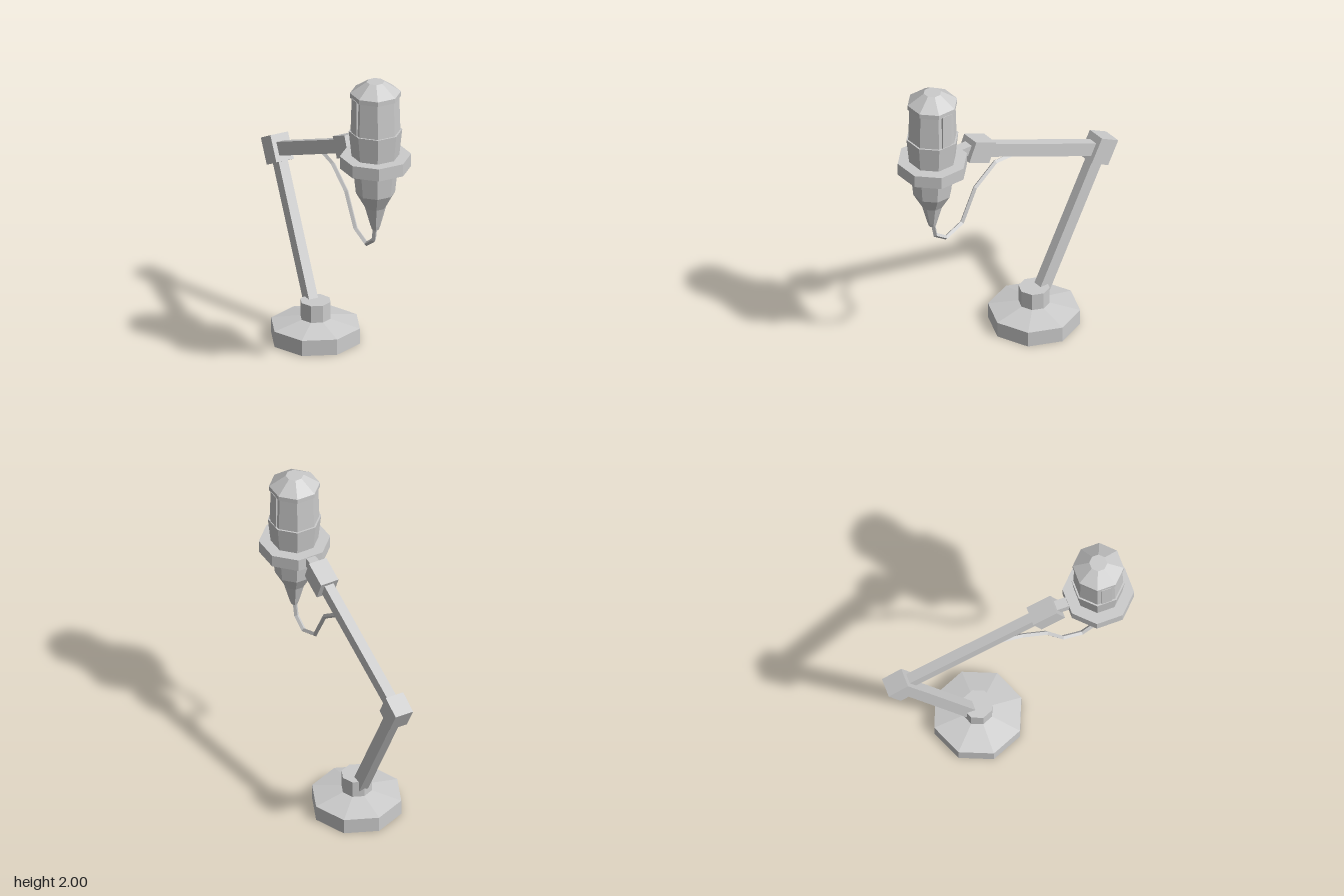
import * as THREE from 'three';

const material = new THREE.MeshStandardMaterial({ color: 0xcccccc, flatShading: true, side: THREE.DoubleSide });
const MIC_Z = 0.585;
const FLAT = 1 / Math.cos(Math.PI / 8); // octagon: flat distance to corner radius

export function createModel() {
  const model = new THREE.Group();
  model.name = 'deskMicrophone';

  const add = (name, geometry, x = 0, y = 0, z = 0) => {
    const mesh = new THREE.Mesh(geometry, material);
    mesh.name = name;
    mesh.position.set(x, y, z);
    model.add(mesh);
    return mesh;
  };

  // Eight-sided solid; profile is [radius, y] from bottom to top
  const octagon = (profile, scale = 1, start = 0) =>
    new THREE.LatheGeometry(profile.map(([r, y]) => new THREE.Vector2(r * scale, y)), 8, start);
  const micPart = (name, profile) => add(name, octagon(profile, FLAT, Math.PI / 8), 0, 0, MIC_Z);

  // Box whose long axis is aimed along a direction in the side plane
  const aimedBox = (name, width, thickness, length, centre, direction) => {
    const mesh = add(name, new THREE.BoxGeometry(width, thickness, length), ...centre.toArray());
    mesh.lookAt(centre.clone().add(direction));
  };

  // Stand: wide foot and socket
  add('base', octagon([[0, 0], [0.28, 0], [0.28, 0.1], [0.095, 0.14], [0, 0.14]]), 0, 0, -0.19);
  add('baseSocket', octagon([[0, 0.13], [0.095, 0.13], [0.095, 0.25], [0, 0.25]]), 0, 0, -0.19);

  // Jointed arm
  const foot = new THREE.Vector3(0, 0.2, -0.238);
  const elbow = new THREE.Vector3(0, 1.06, -0.684);
  const hinge = new THREE.Vector3(0, 1.447, 0.247);
  const arms = [['lowerArm', foot, elbow], ['upperArm', elbow, hinge]];
  for (const [name, a, b] of arms) {
    const direction = b.clone().sub(a);
    aimedBox(name, 0.062, 0.085, direction.length(), a.clone().lerp(b, 0.5), direction);
  }
  aimedBox('elbowJoint', 0.12, 0.14, 0.168, elbow, elbow.clone().sub(foot));
  aimedBox('headJoint', 0.12, 0.137, 0.164, hinge, hinge.clone().sub(elbow));
  add('mountBracket', new THREE.BoxGeometry(0.062, 0.062, 0.16), 0, 1.478, 0.34);

  // Microphone head
  micPart('shockRing', [[0, 1.435], [0.2, 1.435], [0.2, 1.515], [0, 1.515]]);
  micPart('body', [[0, 1.025], [0.02, 1.025], [0.028, 1.05], [0.06, 1.175], [0.11, 1.27],
    [0.126, 1.435], [0.134, 1.515], [0.15, 1.68], [0, 1.68]]);
  micPart('grille', [[0.14, 1.67], [0.133, 1.91]]);
  micPart('cap', [[0, 1.9], [0.143, 1.9], [0.143, 1.93], [0.05, 2], [0, 2]]);

  // Upright strips on both sides of the grille
  for (const side of [-1, 1]) {
    add(side > 0 ? 'leftStrip' : 'rightStrip',
      new THREE.BoxGeometry(0.03, 0.23, 0.066), side * 0.131, 1.79, MIC_Z);
  }

  // Hanging cable, one straight length between each pair of points
  const cablePath = new THREE.CatmullRomCurve3([
    [0, 1.06, 0.585], [0, 0.945, 0.562], [-0.005, 0.888, 0.478], [-0.012, 0.94, 0.35],
    [-0.02, 1.146, 0.244], [-0.026, 1.265, 0.085], [-0.01, 1.278, -0.1],
  ].map((p) => new THREE.Vector3(...p)));
  cablePath.getPointAt = cablePath.getPoint;
  cablePath.getTangentAt = cablePath.getTangent;
  add('cable', new THREE.TubeGeometry(cablePath, 6, 0.015, 4));

  return model;
}
